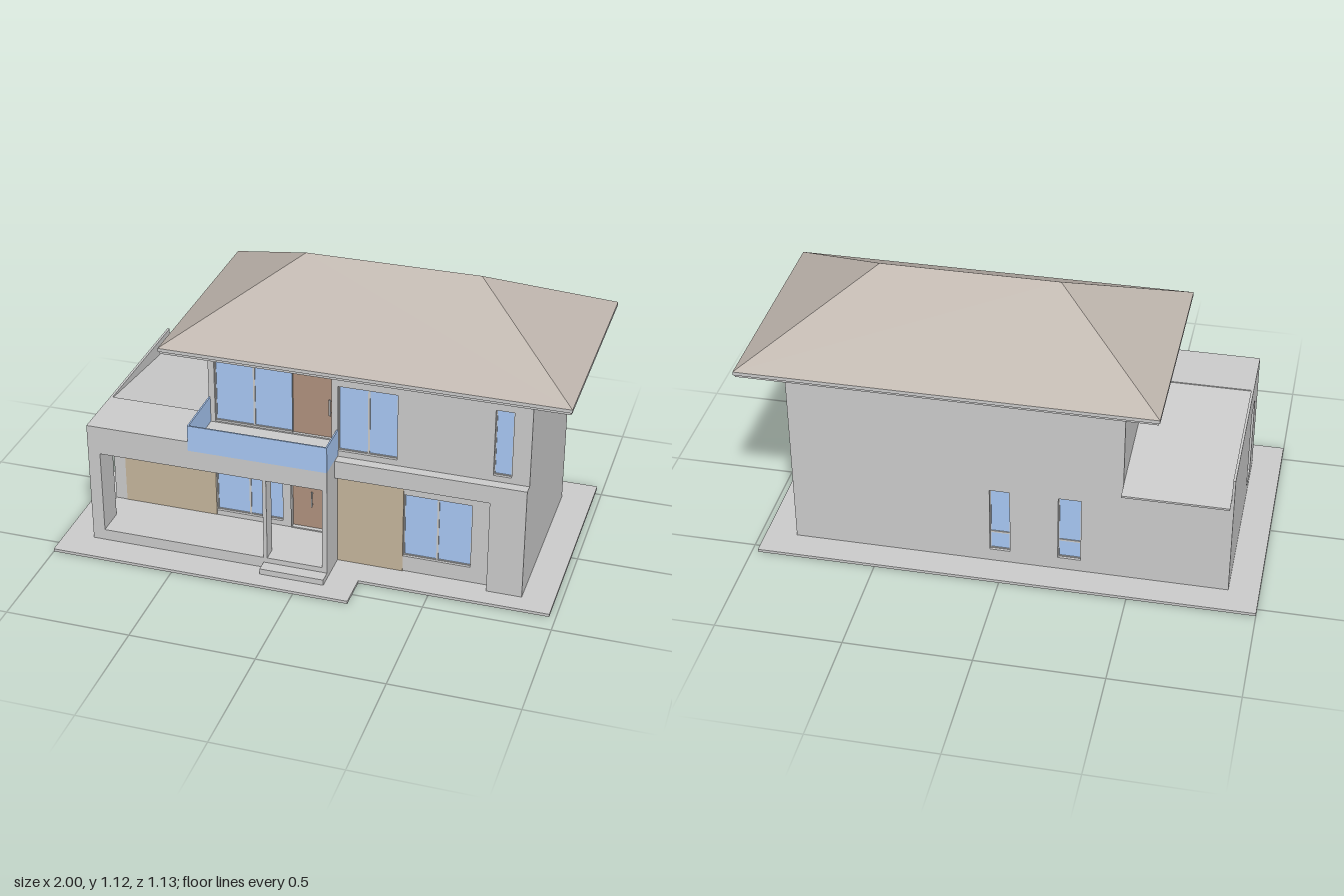
import * as THREE from 'three';
import { ConvexGeometry } from 'three/addons/geometries/ConvexGeometry.js';

const mat = (color) => new THREE.MeshStandardMaterial({ color });
const GREY = mat(0xcccccc), GLASS = mat(0xa8c8f4), WOOD = mat(0xc6b69c),
  DOOR = mat(0xb0917e), ROOF = mat(0xbfb6ae);

export function createModel() {
  const house = new THREE.Group();
  house.name = 'house';

  const add = (name, geo, material = GREY) => {
    const mesh = new THREE.Mesh(geo, material);
    mesh.name = name;
    house.add(mesh);
    return mesh;
  };
  // Box given by its limits on each axis
  const box = (name, x0, x1, y0, y1, z0, z1, material) => add(name,
    new THREE.BoxGeometry(x1 - x0, y1 - y0, z1 - z0)
      .translate((x0 + x1) / 2, (y0 + y1) / 2, (z0 + z1) / 2), material);

  const rect = (path, [x0, x1, y0, y1]) => path.moveTo(x0, y0).lineTo(x1, y0)
    .lineTo(x1, y1).lineTo(x0, y1).closePath();
  // Upright panel with rectangular holes
  const wall = (name, outline, z0, z1, holes, material) => {
    const shape = rect(new THREE.Shape(), outline);
    holes.forEach((h) => shape.holes.push(rect(new THREE.Path(), h)));
    const geo = new THREE.ExtrudeGeometry(shape, { depth: z1 - z0, bevelEnabled: false });
    return add(name, geo.translate(0, 0, z0), material);
  };
  // Side profile of [z, y] points extruded along x
  const profile = (name, pts, x0, x1, material) => {
    const shape = new THREE.Shape(pts.map(([z, y]) => new THREE.Vector2(-z, y)));
    const geo = new THREE.ExtrudeGeometry(shape, { depth: x1 - x0, bevelEnabled: false });
    return add(name, geo.rotateY(Math.PI / 2).translate(x0, 0, 0), material);
  };
  // Recessed window: xs and ys are the frame lines, face is the wall plane, dir its outward side
  const windowUnit = (name, xs, ys, face, dir = 1) => {
    const f = 0.004, panes = [];
    for (let i = 0; i < xs.length - 1; i++)
      for (let j = 0; j < ys.length - 1; j++)
        panes.push([xs[i] + f, xs[i + 1] - f, ys[j] + f, ys[j + 1] - f]);
    const span = [xs[0], xs.at(-1), ys[0], ys.at(-1)];
    const a = face - dir * 0.02, b = face - dir * 0.015, c = face - dir * 0.011;
    box(name + 'Glass', ...span, Math.min(a, b), Math.max(a, b), GLASS);
    wall(name + 'Frame', span, Math.min(a, c), Math.max(a, c), panes);
    return span;
  };

  // Ground slab, deeper in front of the porch
  const slab = new THREE.Shape([[-1, -0.565], [0.22, -0.565], [0.22, -0.42], [0.975, -0.42],
    [0.975, 0.54], [-1, 0.54]].map(([x, y]) => new THREE.Vector2(x, y)));
  add('groundSlab', new THREE.ExtrudeGeometry(slab, { depth: 0.012, bevelEnabled: false })
    .rotateX(-Math.PI / 2));

  // Main two-storey body behind the wall skins
  box('mainBody', -0.46, 0.85, 0.005, 0.84, -0.4, 0.18);
  box('frontRoomBody', 0.075, 0.85, 0.005, 0.84, 0.18, 0.28);

  // Back wall with two slit windows
  const slits = [[-0.3, -0.21], [-0.02, 0.06]].map((xs) =>
    windowUnit('backWindow', xs, [0.065, 0.145, 0.35], -0.42, -1));
  wall('backWall', [-0.46, 0.85, 0.005, 0.84], -0.42, -0.4, slits);

  // Right-hand front wall over both storeys
  wall('frontWall', [0.075, 0.85, 0.005, 0.84], 0.28, 0.3, [
    windowUnit('livingWindow', [0.365, 0.5, 0.635], [0.08, 0.36], 0.3),
    windowUnit('bedroomWindow', [0.1, 0.22, 0.335], [0.51, 0.79], 0.3),
    windowUnit('narrowWindow', [0.71, 0.78], [0.51, 0.79], 0.3),
  ]);
  box('woodCladding', 0.1, 0.365, 0.012, 0.41, 0.3, 0.304, WOOD);
  box('frontBand', 0.1, 0.85, 0.41, 0.485, 0.3, 0.34);
  box('frontPier', 0.71, 0.85, 0.005, 0.41, 0.3, 0.34);

  // Recessed wall behind the porch, with window and entrance door
  const entrance = [-0.12, 0.06, 0.065, 0.345];
  wall('porchWall', [-0.88, 0.1, 0.005, 0.41], 0.18, 0.2, [
    windowUnit('porchWindow', [-0.44, -0.3, -0.16], [0.08, 0.36], 0.2), entrance]);
  box('porchCladding', -0.83, -0.44, 0.06, 0.41, 0.2, 0.204, WOOD);
  box('entranceDoor', ...entrance, 0.18, 0.188, DOOR);
  wall('entranceDoorFrame', [-0.125, 0.065, 0.06, 0.352], 0.185, 0.206, [entrance]);

  // Recessed wall behind the balcony
  const balconyDoor = [-0.115, 0.06, 0.495, 0.79];
  wall('balconyWall', [-0.46, 0.075, 0.41, 0.84], 0.18, 0.2, [
    windowUnit('balconyWindow', [-0.435, -0.275, -0.115], [0.495, 0.79], 0.2), balconyDoor]);
  box('balconyDoor', ...balconyDoor, 0.18, 0.188, DOOR);

  // Handles for both doors
  for (const [x, y] of [[-0.04, 0.2], [0.035, 0.63]]) {
    box('doorHandle', x - 0.003, x + 0.003, y - 0.035, y + 0.035, 0.194, 0.199);
    for (const s of [-1, 1])
      box('handleMount', x - 0.002, x + 0.002, y + s * 0.025 - 0.003, y + s * 0.025 + 0.003, 0.187, 0.195);
  }

  // Porch floor, step, posts and flat roofs
  box('porchFloor', -0.88, 0.1, 0.005, 0.058, 0.19, 0.44);
  box('porchStep', -0.16, 0.1, 0.005, 0.036, 0.43, 0.49);
  box('cornerPost', -0.88, -0.83, 0.05, 0.41, 0.32, 0.44);
  box('slimColumn', -0.16, -0.145, 0.05, 0.41, 0.38, 0.44);
  box('porchSideWall', 0.08, 0.1, 0.05, 0.41, 0.2, 0.44);
  box('porchRoof', -0.88, -0.46, 0.41, 0.53, 0.2, 0.44);
  box('balconyFloor', -0.46, 0.1, 0.41, 0.49, 0.2, 0.44);

  // Glass balcony railing
  box('railingFront', -0.46, 0.1, 0.49, 0.6, 0.434, 0.44, GLASS);
  box('railingLeft', -0.46, -0.454, 0.49, 0.6, 0.2, 0.434, GLASS);
  box('railingRight', 0.094, 0.1, 0.49, 0.6, 0.3, 0.434, GLASS);

  // Single-storey wing with a lean-to roof and a level side parapet
  profile('wingBody', [[-0.42, 0.005], [-0.42, 0.444], [0.18, 0.515], [0.18, 0.005]], -0.87, -0.46);
  box('wingParapet', -0.88, -0.87, 0.005, 0.53, -0.42, 0.2);
  profile('wingRoof', [[-0.48, 0.437], [-0.48, 0.445], [0.2, 0.526], [0.2, 0.518]], -0.87, -0.46);

  // Hipped main roof on a two-layer eave
  box('lowerEave', -0.6, 0.995, 0.84, 0.851, -0.558, 0.341);
  box('upperEave', -0.605, 1, 0.851, 0.865, -0.565, 0.347);
  const hip = [[-0.605, 0.865, -0.565], [1, 0.865, -0.565], [1, 0.865, 0.347],
    [-0.605, 0.865, 0.347], [-0.155, 1.125, -0.109], [0.545, 1.125, -0.109]];
  add('hippedRoof', new ConvexGeometry(hip.map((p) => new THREE.Vector3(...p))), ROOF);

  return house;
}
